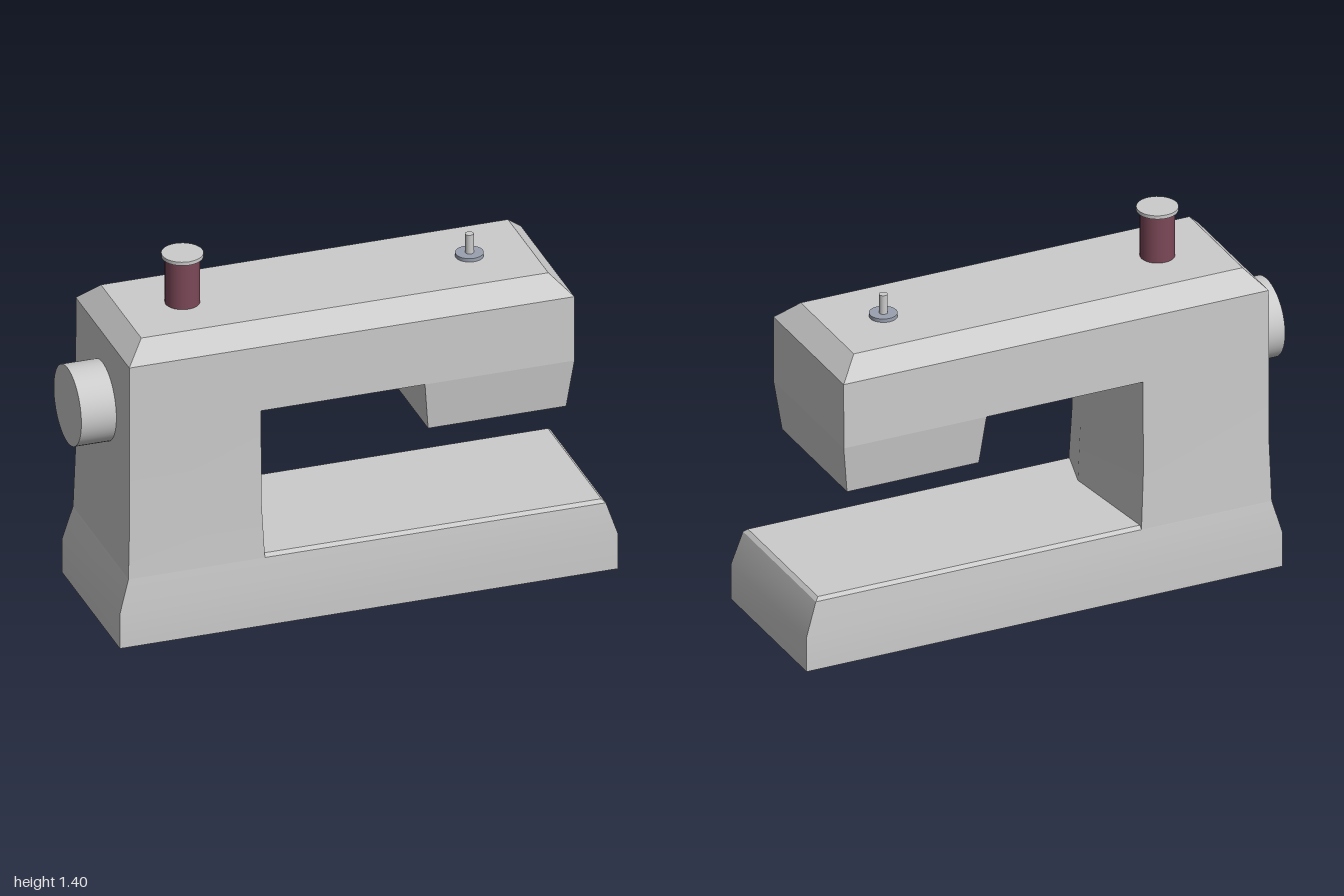
import * as THREE from 'three';
import { toCreasedNormals } from 'three/addons/utils/BufferGeometryUtils.js';

const material = (color = 0xcccccc) => new THREE.MeshStandardMaterial({ color });

// Skin a stack of horizontal rings of [x, z] corners, each at its own height, with end caps.
function loft(rings) {
  const positions = [], index = [], n = rings[0].corners.length;
  for (const { y, corners } of rings) for (const [x, z] of corners) positions.push(x, y, z);
  for (let r = 0; r < rings.length - 1; r++) {
    for (let i = 0; i < n; i++) {
      const a = r * n + i, b = r * n + (i + 1) % n;
      index.push(a, b, b + n, a, b + n, a + n);
    }
  }
  const top = (rings.length - 1) * n;
  for (let i = 1; i < n - 1; i++) {
    index.push(0, i + 1, i, top, top + i, top + i + 1);
  }
  const geometry = new THREE.BufferGeometry();
  geometry.setAttribute('position', new THREE.Float32BufferAttribute(positions, 3));
  geometry.setIndex(index);
  return toCreasedNormals(geometry, 0.45);
}

// Rectangular ring: height, left x, right x, half depth
const rect = ([y, x0, x1, d]) => ({ y, corners: [[x0, d], [x1, d], [x1, -d], [x0, -d]] });

// Column ring: the inner wall swells out to a soft ridge
const columnRing = ([y, x0, x1, ridge, d]) => ({
  y, corners: [[x0, d], [x1, d], [ridge, 0.12], [x1, -d], [x0, -d]],
});

export function createModel() {
  const model = new THREE.Group();

  const add = (name, geometry, color) => {
    const mesh = new THREE.Mesh(geometry, material(color));
    mesh.name = name;
    model.add(mesh);
    return mesh;
  };
  const upright = (name, x, radius, y0, y1, color) => {
    const mesh = add(name, new THREE.CylinderGeometry(radius, radius, y1 - y0, 32), color);
    mesh.position.set(x, (y0 + y1) / 2, 0);
    return mesh;
  };

  // Flared base and the chamfered work bed on it
  add('base', loft([
    [0, -0.91, 1, 0.317], [0.14, -0.91, 1, 0.317], [0.27, -0.873, 0.957, 0.305],
  ].map(rect)));
  add('workBed', loft([
    [0.27, -0.37, 0.957, 0.305], [0.283, -0.37, 0.943, 0.293],
  ].map(rect)));

  // Upright column
  add('column', loft([
    [0.27, -0.873, -0.35, -0.298, 0.305],
    [0.5, -0.866, -0.361, -0.308, 0.298],
    [0.865, -0.866, -0.361, -0.31, 0.295],
  ].map(columnRing)));

  // Horizontal arm with bevelled top
  add('arm', loft([
    [0.865, -0.866, 0.84, 0.295], [1.125, -0.866, 0.84, 0.294], [1.2, -0.795, 0.765, 0.222],
  ].map(rect)));

  // Needle head tapering downward
  add('needleHead', loft([
    [0.672, 0.287, 0.816, 0.272], [0.865, 0.267, 0.84, 0.295],
  ].map(rect)));

  // Hand wheel on the end of the arm
  const wheel = add('handWheel', new THREE.CylinderGeometry(0.152, 0.152, 0.15, 48));
  wheel.rotation.z = Math.PI / 2;
  wheel.position.set(-0.925, 0.852, 0);

  // Thread spool with cap
  upright('threadSpool', -0.56, 0.064, 1.19, 1.387, 0x7c4858);
  upright('spoolCap', -0.56, 0.077, 1.386, 1.4);

  // Bobbin winder: disc and pin
  upright('winderDisc', 0.54, 0.052, 1.19, 1.214, 0x9aa1b0);
  upright('winderPin', 0.54, 0.016, 1.2, 1.29);

  return model;
}
